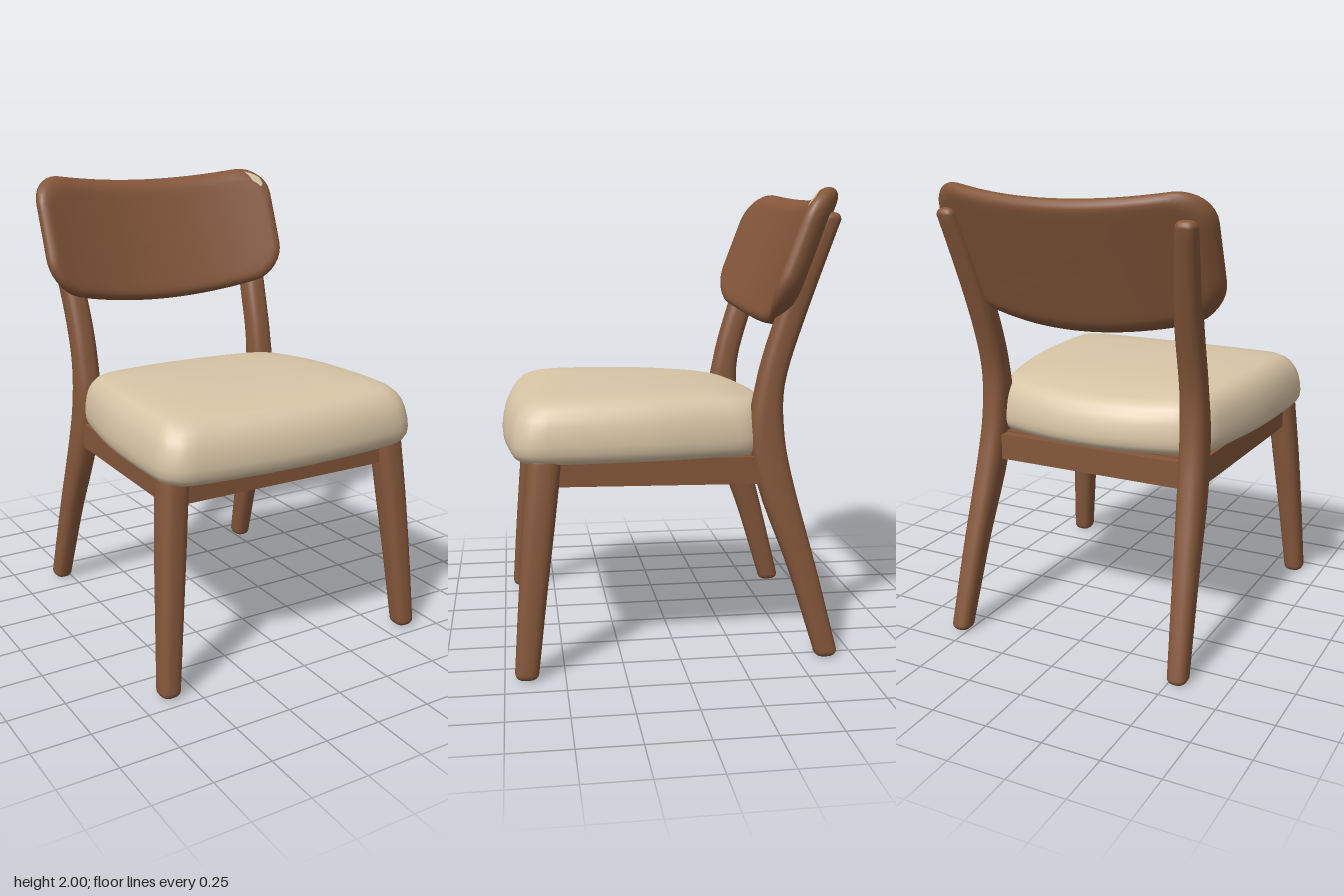
import * as THREE from 'three';

const wood = new THREE.MeshStandardMaterial({ color: 0x85573a });
wood.name = 'brown wood';
const fabric = new THREE.MeshStandardMaterial({ color: 0xd8c5a6 });
fabric.name = 'cream fabric';

const V = (x, y, z) => new THREE.Vector3(x, y, z);

// Skin a stack of closed rings and cap both ends; accent(p) picks faces for a second material
function loft(rings, accent = () => false) {
  const n = rings[0].length, last = rings.length - 1;
  const centre = (ring) => ring.reduce((s, p) => s.add(p), V(0, 0, 0)).divideScalar(n);
  const points = [...rings.flat(), centre(rings[0]), centre(rings[last])];
  const main = [], extra = [];
  const tri = (a, b, c) => {
    const mid = V(0, 0, 0).add(points[a]).add(points[b]).add(points[c]).divideScalar(3);
    (accent(mid) ? extra : main).push(a, b, c);
  };
  for (let j = 0; j < n; j++) {
    const k = (j + 1) % n;
    for (let i = 0; i < last; i++) {
      tri(i * n + j, (i + 1) * n + j, (i + 1) * n + k);
      tri(i * n + j, (i + 1) * n + k, i * n + k);
    }
    tri(points.length - 2, j, k);
    tri(points.length - 1, last * n + k, last * n + j);
  }
  const geo = new THREE.BufferGeometry().setFromPoints(points);
  geo.setIndex([...main, ...extra]);
  geo.addGroup(0, main.length, 0);
  if (extra.length) geo.addGroup(main.length, extra.length, 1);
  geo.computeVertexNormals();
  return geo;
}

// Rounded pad: each profile entry is [inset, level, scale]; place() bends it into position
function pad(a, b, r, profile, place, accent) {
  const s = new THREE.Shape();
  s.moveTo(a, 0);
  s.absarc(a - r, b - r, r, 0, Math.PI / 2);
  s.absarc(r - a, b - r, r, Math.PI / 2, Math.PI);
  s.absarc(r - a, r - b, r, Math.PI, Math.PI * 1.5);
  s.absarc(a - r, r - b, r, Math.PI * 1.5, Math.PI * 2);
  s.closePath();
  const outline = s.getSpacedPoints(120).slice(0, 120);
  return loft(profile.map(([d, level, f = 1]) =>
    outline.map((p) => place(p.x * (1 - d / a) * f, p.y * (1 - d / b) * f, level))), accent);
}

// Leg through stations [x, y, z, halfWidth, halfDepth], with softly squared section and domed ends
function leg(stations, side) {
  const path = new THREE.CatmullRomCurve3(stations.map(([x, y, z]) => V(x * side, y, z)));
  const size = new THREE.CatmullRomCurve3(stations.map((q) => V(q[3], 0, q[4])));
  const soft = (c) => Math.sign(c) * Math.abs(c) ** 0.75;
  const ring = (t, dy = 0, scale = 1) => {
    const c = path.getPoint(t), h = size.getPoint(t).multiplyScalar(scale);
    return Array.from({ length: 28 }, (_, j) => {
      const ang = (j / 28) * Math.PI * 2;
      return V(c.x + soft(Math.cos(ang)) * h.x, c.y + dy, c.z + soft(Math.sin(ang)) * h.z);
    });
  };
  const rings = [], dome = [1.35, 1.0, 0.7, 0.35];
  for (const t of dome) rings.push(ring(0, -0.03 * Math.sin(t), Math.cos(t) ** 0.6));
  for (let i = 0; i <= 32; i++) rings.push(ring(i / 32));
  for (const t of [...dome].reverse()) rings.push(ring(1, 0.03 * Math.sin(t), Math.cos(t) ** 0.6));
  return loft(rings);
}

export function createModel() {
  const model = new THREE.Group();
  const add = (name, geo, mat, parent = model) => {
    const m = new THREE.Mesh(geo, mat);
    m.name = name;
    parent.add(m);
    return m;
  };
  const inner = [0.15, 0.3, 0.45, 0.6, 0.75, 0.88];

  // Cushion: tapered to the back, bowed at front and back, domed on top
  const cushionProfile = [
    ...inner.map((f) => [0.06, 0.887, f]),
    [0.06, 0.888], [0.035, 0.894], [0.015, 0.91], [0.003, 0.935], [0, 0.97], [0.004, 1.01],
    [0.012, 1.05], [0.025, 1.085], [0.045, 1.115], [0.07, 1.137], [0.1, 1.15],
    ...[...inner].reverse().map((f) => [0.1, 1.17 - 0.02 * f ** 4, f]),
  ];
  add('seatCushion', pad(0.625, 0.605, 0.1, cushionProfile, (x, v, y) => {
    const z0 = v + 0.135;
    const px = x * (1 - 0.19 * (z0 - 0.5) ** 2);
    const k = v / 0.605;
    const z = z0 + px * px * (k > 0 ? -0.14 * k : -0.45 * k);
    const lift = Math.max(0, (y - 0.9) / 0.27);
    const drop = z > 0.4 ? 0.3 * (z - 0.4) ** 2 : 0.1 * Math.min(0, z - 0.25) ** 2;
    return V(px, y - drop * lift, z);
  }), fabric);

  // Backrest: reclined, bowed panel with a dipped top, and a light patch on one corner
  const rim = Array.from({ length: 11 }, (_, i) => {
    const t = (i / 10 - 0.5) * Math.PI;
    return [0.055 * (1 - Math.cos(t)), 0.055 * Math.sin(t)];
  });
  const backProfile = [
    ...inner.map((f) => [0.055, -0.055, f]), ...rim,
    ...[...inner].reverse().map((f) => [0.055, 0.055, f]),
  ];
  const patch = (p) => Math.abs(p.x - 0.55) < 0.035 && Math.abs(p.y - 1.96 + 0.8 * (p.x - 0.55)) < 0.018
    && p.z > -0.56;
  add('backrest', pad(0.625, 0.278, 0.15, backProfile, (x, v, w) => {
    const y = 1.686 - v + x * x * (0.205 + 0.16 * v);
    return V(x, y, -0.475 - 0.38 * (y - 1.41) + 0.36 * x * x + w);
  }, patch), [wood, fabric]);

  // Legs, mirrored
  const frontLeg = [
    [0.613, 0.03, 0.658, 0.046, 0.05], [0.59, 0.33, 0.63, 0.053, 0.058],
    [0.564, 0.64, 0.598, 0.06, 0.066], [0.54, 0.9, 0.57, 0.063, 0.07],
  ];
  const backLeg = [
    [0.535, 0.03, -0.628, 0.043, 0.05], [0.515, 0.4, -0.522, 0.05, 0.061],
    [0.492, 0.77, -0.405, 0.058, 0.077], [0.482, 1.0, -0.366, 0.058, 0.074],
    [0.48, 1.2, -0.382, 0.056, 0.06], [0.487, 1.45, -0.452, 0.055, 0.061],
    [0.51, 1.68, -0.535, 0.05, 0.052], [0.535, 1.87, -0.605, 0.044, 0.044],
  ];
  for (const [side, label] of [[1, 'left'], [-1, 'right']]) {
    add(label + 'FrontLeg', leg(frontLeg, side), wood);
    add(label + 'BackLeg', leg(backLeg, side), wood);
  }

  // Rails under the seat
  const rail = (name, from, to, height) => {
    const m = add(name, new THREE.BoxGeometry(0.075, height, from.distanceTo(to)), wood);
    m.position.copy(from).lerp(to, 0.5);
    m.lookAt(to);
  };
  rail('leftRail', V(0.535, 0.855, 0.56), V(0.48, 0.828, -0.38), 0.115);
  rail('rightRail', V(-0.535, 0.855, 0.56), V(-0.48, 0.828, -0.38), 0.115);
  rail('frontRail', V(-0.53, 0.848, 0.565), V(0.53, 0.848, 0.565), 0.11);
  rail('backRail', V(-0.48, 0.825, -0.385), V(0.48, 0.825, -0.385), 0.115);

  // Board closing the underside of the seat
  const board = new THREE.Shape([[0.53, 0.56], [-0.53, 0.56], [-0.48, -0.38], [0.48, -0.38]]
    .map(([x, y]) => new THREE.Vector2(x, y)));
  const boardGeo = new THREE.ExtrudeGeometry(board, { depth: 0.025, bevelEnabled: false });
  boardGeo.rotateX(Math.PI / 2).translate(0, 0.89, 0);
  add('seatBoard', boardGeo, wood);

  return model;
}
